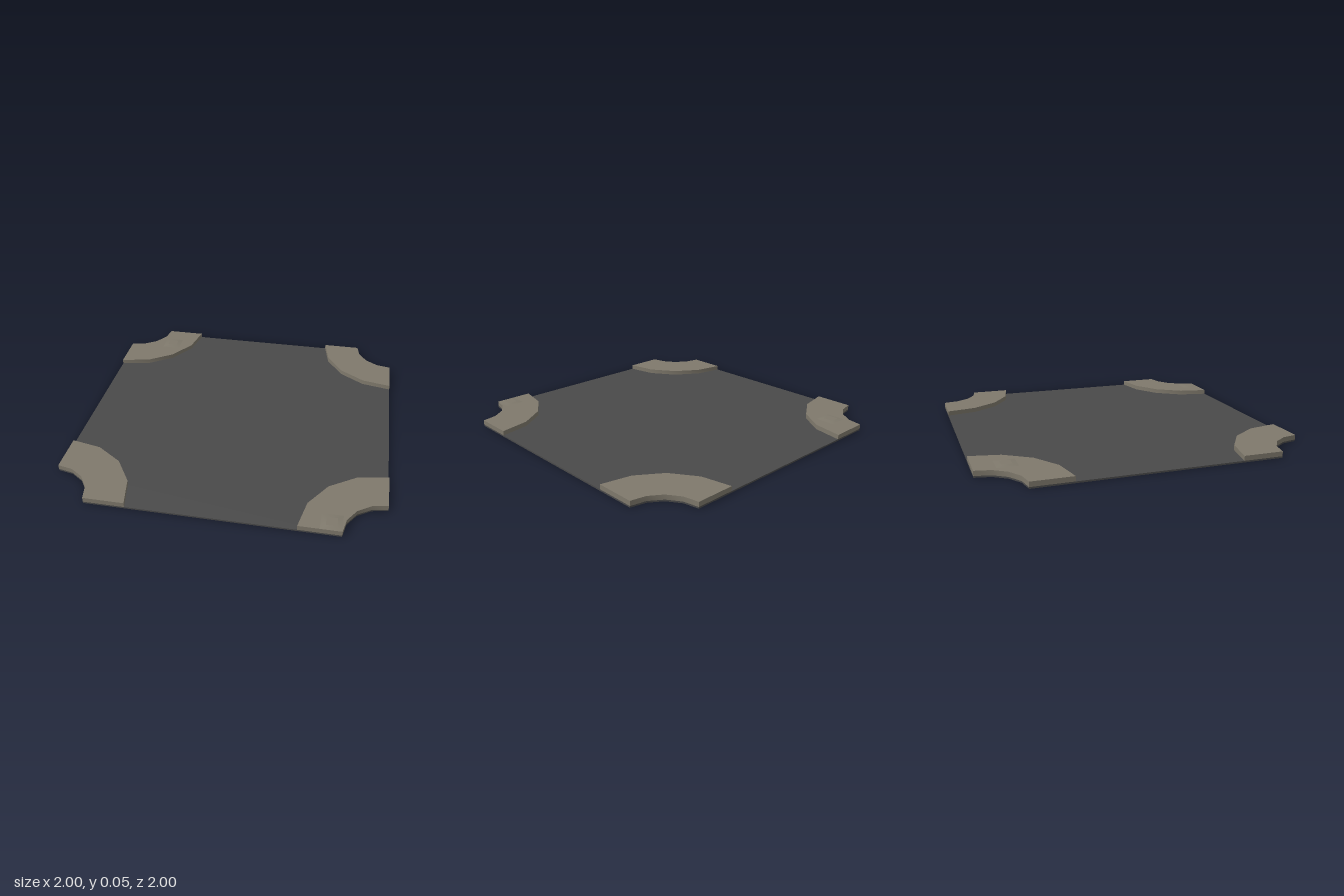
import * as THREE from 'three';
import { toCreasedNormals } from 'three/addons/utils/BufferGeometryUtils.js';

const ROAD_TOP = 0.01, CURB_TOP = 0.04;
const INNER = 0.25, OUTER = 0.5, STEPS = 4;

// Points of a quarter arc about the corner (cx, cy), starting at angle a0
function arc(cx, cy, r, a0, dir = 1) {
  return Array.from({ length: STEPS + 1 }, (_, i) => {
    const a = a0 + dir * (i / STEPS) * Math.PI / 2;
    return new THREE.Vector2(cx + r * Math.cos(a), cy + r * Math.sin(a));
  });
}

// Flat plate lying on the ground plane between two heights
function plate(points, bottom, top) {
  const geo = new THREE.ExtrudeGeometry(new THREE.Shape(points), { depth: top - bottom, bevelEnabled: false });
  geo.rotateX(-Math.PI / 2).translate(0, bottom, 0);
  return toCreasedNormals(geo, 0.5);
}

export function createModel() {
  const asphalt = new THREE.MeshStandardMaterial({ color: 0x4a4a4a });
  asphalt.name = 'asphalt';
  const concrete = new THREE.MeshStandardMaterial({ color: 0x7f796c });
  concrete.name = 'concrete';

  const model = new THREE.Group();
  model.name = 'crossroadTile';
  const add = (name, geo, mat) => {
    const mesh = new THREE.Mesh(geo, mat);
    mesh.name = name;
    model.add(mesh);
    return mesh;
  };

  // Road slab with a scooped-out quarter circle at each corner
  const outline = [
    ...arc(1, 1, INNER, -Math.PI / 2, -1),
    ...arc(-1, 1, INNER, 0, -1),
    ...arc(-1, -1, INNER, Math.PI / 2, -1),
    ...arc(1, -1, INNER, Math.PI, -1),
  ];
  add('road', plate(outline, 0, ROAD_TOP), asphalt);

  // Curved pavement at each corner
  const band = [...arc(1, 1, OUTER, Math.PI), ...arc(1, 1, INNER, -Math.PI / 2, -1)];
  const pavement = plate(band, ROAD_TOP, CURB_TOP);
  for (let i = 0; i < 4; i++) {
    add('pavement' + (i + 1), pavement, concrete).rotation.y = i * Math.PI / 2;
  }

  // Two slightly raised paving stones with sloping edges
  const stone = new THREE.CylinderGeometry(0.045, 0.0884, 0.006, 4, 1, false, Math.PI / 4);
  for (const [x, z] of [[-0.6875, -0.8125], [0.6875, 0.9375]]) {
    add('raisedStone', stone, concrete).position.set(x, CURB_TOP + 0.003, z);
  }
  return model;
}
